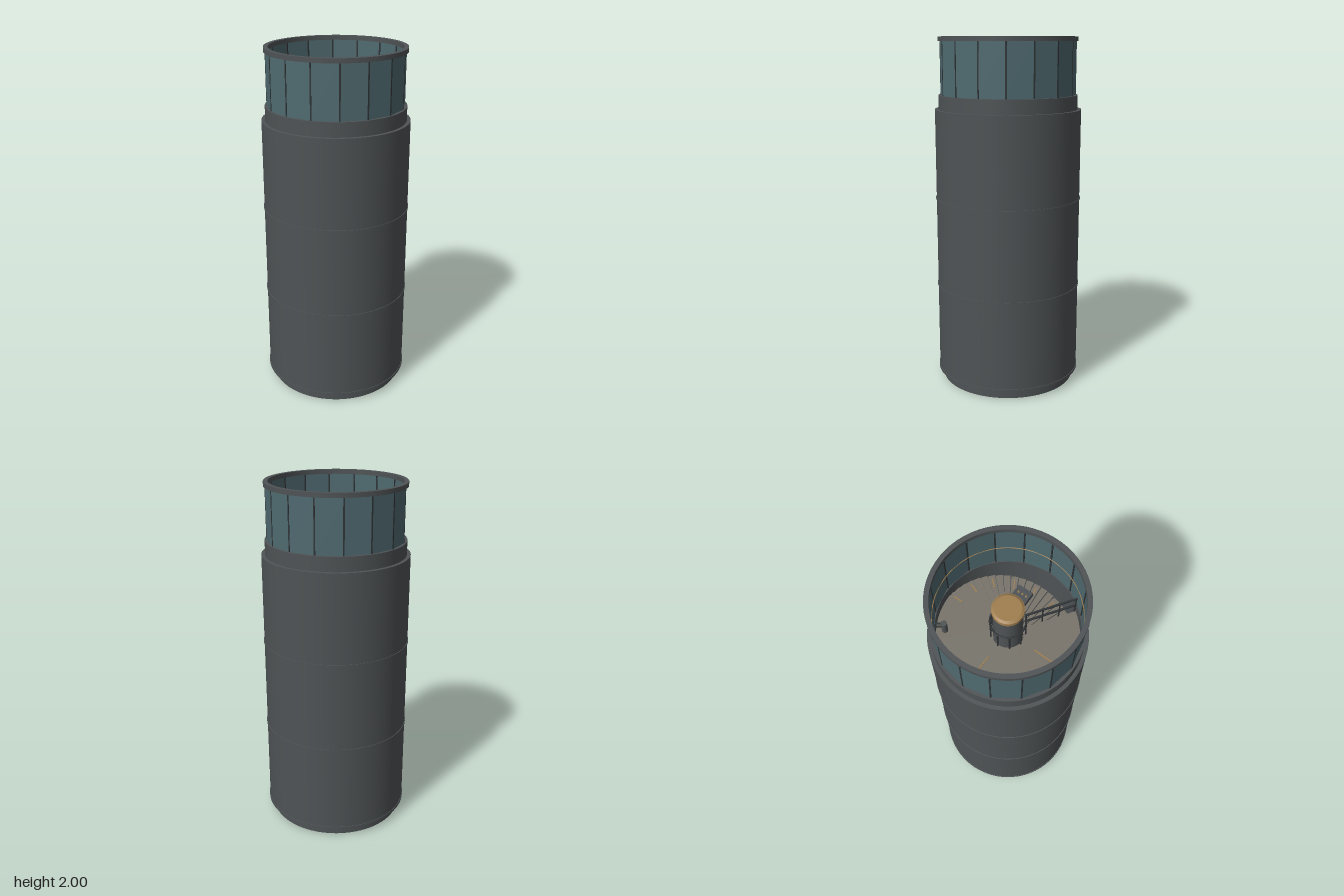
import * as THREE from 'three';

const RAD = Math.PI / 180;
const mat = (name, color, side = THREE.FrontSide) => {
  const m = new THREE.MeshStandardMaterial({ color, side });
  m.name = name;
  return m;
};

export function createModel() {
  const root = new THREE.Group();
  root.name = 'observationTower';
  const wall = mat('dark grey metal', 0x4f5355);
  const glass = mat('teal glass', 0x4f6a70, THREE.DoubleSide);
  const stone = mat('warm grey floor', 0x78746b);
  const amber = mat('amber light', 0xa07f50);
  const dark = mat('charcoal trim', 0x303436);

  const add = (name, geo, material, x = 0, y = 0, z = 0, parent = root) => {
    const m = new THREE.Mesh(geo, material);
    m.name = name;
    m.position.set(x, y, z);
    parent.add(m);
    return m;
  };
  // Group turned so its local +x points along an angle measured from +x to +z
  const spoke = (name, deg) => {
    const g = new THREE.Group();
    g.name = name;
    g.rotation.y = -deg * RAD;
    root.add(g);
    return g;
  };
  // Lathe with crisp profile corners: one smooth strip per profile segment
  const turned = (name, points, material) => {
    const g = new THREE.Group();
    g.name = name;
    for (let i = 0; i < points.length - 1; i++) {
      const pair = [points[i], points[i + 1]].map(p => new THREE.Vector2(...p));
      add(name + 'Face', new THREE.LatheGeometry(pair, 64), material, 0, 0, 0, g);
    }
    root.add(g);
  };
  // Flat ring sector whose top lies on y = 0
  const sector = (r0, r1, a0, a1, depth) => {
    const s = new THREE.Shape();
    s.absarc(0, 0, r1, a0 * RAD, a1 * RAD, false);
    s.absarc(0, 0, r0, a1 * RAD, a0 * RAD, true);
    const steps = Math.max(2, Math.ceil((a1 - a0) / 6));
    return new THREE.ExtrudeGeometry(s, { depth, bevelEnabled: false, curveSegments: steps })
      .rotateX(Math.PI / 2);
  };

  // Hollow tower shell with plinth and stepped collar
  turned('towerShell', [
    [0, 0], [0.388, 0], [0.388, 0.05], [0.415, 0.05], [0.415, 1.6], [0.394, 1.6],
    [0.394, 1.68], [0.368, 1.68], [0.368, 0.05], [0, 0.05],
  ], wall);

  // Thin bands around the shell at the storey levels
  for (const [y, h] of [[0.051, 0.014], [0.57, 0.01], [1.085, 0.01]]) {
    turned('storeyBand', [[0.414, y], [0.419, y], [0.419, y + h], [0.414, y + h]], wall);
  }

  // Crown ring above the glazing
  turned('crownRing', [
    [0.367, 1.975], [0.392, 1.975], [0.392, 2], [0.367, 2], [0.367, 1.975],
  ], wall);

  // Sixteen flat panes with slim mullions
  const paneR = 0.383;
  const paneW = 2 * paneR * Math.sin(11.25 * RAD);
  for (let i = 0; i < 16; i++) {
    const pane = spoke('windowPane', (i + 0.5) * 22.5);
    add('pane', new THREE.BoxGeometry(0.006, 0.295, paneW), glass,
      paneR * Math.cos(11.25 * RAD) - 0.003, 1.8275, 0, pane);
    const post = spoke('mullion', i * 22.5);
    add('post', new THREE.BoxGeometry(0.012, 0.295, 0.008), dark, 0.378, 1.8275, 0, post);
  }

  // Light line around the inside of the glazing
  add('lightLine', new THREE.TorusGeometry(0.37, 0.0025, 6, 96).rotateX(Math.PI / 2), amber, 0, 1.82, 0);

  // Central column and its glowing cap
  add('centralColumn', new THREE.CylinderGeometry(0.076, 0.076, 1.82, 48), wall, 0, 0.96, 0);
  add('columnCap', new THREE.CylinderGeometry(0.081, 0.081, 0.022, 48), amber, 0, 1.881, 0);
  add('columnCapTop', new THREE.CylinderGeometry(0.068, 0.08, 0.008, 48), amber, 0, 1.896, 0);

  // Storey decks, each open over the stair, with inlaid lights
  for (const y of [0.57, 1.09, 1.61]) {
    add('deck', sector(0.085, 0.37, 126, 360, 0.02), stone, 0, y, 0);
    for (const a of [181.5, 271]) {
      add('deckLight', new THREE.BoxGeometry(0.11, 0.004, 0.006), amber, 0.22, y + 0.002, 0,
        spoke('deckLightSpoke', a));
    }
  }

  // Spiral stair: 54 treads per turn, a light on every third
  const step = 360 / 54;
  const treadGeo = sector(0.074, 0.367, -step * 0.46, step * 0.46, 0.012);
  const lightGeo = new THREE.BoxGeometry(0.055, 0.003, 0.006);
  for (let i = 0; i < 161; i++) {
    const y = 1.605 - (0.52 / 54) * i;
    const g = spoke('stairStep', i * step + 0.8);
    add('tread', treadGeo, stone, 0, y, 0, g);
    if (i % 3 === 0) add('treadLight', lightGeo, amber, 0.32, y + 0.0015, 0, g);
  }

  // Guard rail around the column and along the open deck edge
  const railY = 1.75;
  add('columnRail', new THREE.TorusGeometry(0.09, 0.005, 8, 48, 234 * RAD)
    .rotateX(Math.PI / 2).rotateY(-126 * RAD), dark, 0, railY, 0);
  const edge = spoke('edgeRail', 125.5);
  for (const y of [railY, 1.68]) {
    add('railBar', new THREE.BoxGeometry(0.278, 0.008, 0.01), dark, 0.229, y, 0, edge);
  }
  for (const r of [0.095, 0.185, 0.275, 0.362]) {
    add('railPost', new THREE.CylinderGeometry(0.004, 0.004, 0.14, 8), dark, r, 1.68, 0, edge);
  }
  for (let a = 150; a <= 350; a += 40) {
    add('railPost', new THREE.CylinderGeometry(0.004, 0.004, 0.14, 8), dark, 0.09, 1.68, 0,
      spoke('columnRailPost', a));
  }

  // Control console held off the column, with three lamps
  add('consoleBox', new THREE.BoxGeometry(0.084, 0.03, 0.07), wall, 0.009, 1.805, 0.132);
  add('consoleArm', new THREE.BoxGeometry(0.03, 0.02, 0.05), dark, 0.009, 1.795, 0.085);
  [-0.015, 0.007, 0.03].forEach((x, i) => {
    add('consoleLamp', new THREE.CylinderGeometry(0.0055, 0.0055, 0.004, 16), amber, x, 1.821, 0.132);
  });

  // Two short stands braced to the wall
  for (const [x, z] of [[-0.285, -0.145], [0.27, -0.175]]) {
    const r = Math.hypot(x, z);
    const g = spoke('wallStand', Math.atan2(z, x) / RAD);
    add('standPost', new THREE.CylinderGeometry(0.016, 0.016, 0.085, 20), wall, r, 1.6525, 0, g);
    for (const s of [-1, 1]) {
      add('standBrace', new THREE.BoxGeometry(0.37 - r, 0.01, 0.007), dark,
        (0.37 + r) / 2, 1.67, s * 0.008, g);
    }
  }

  return root;
}
